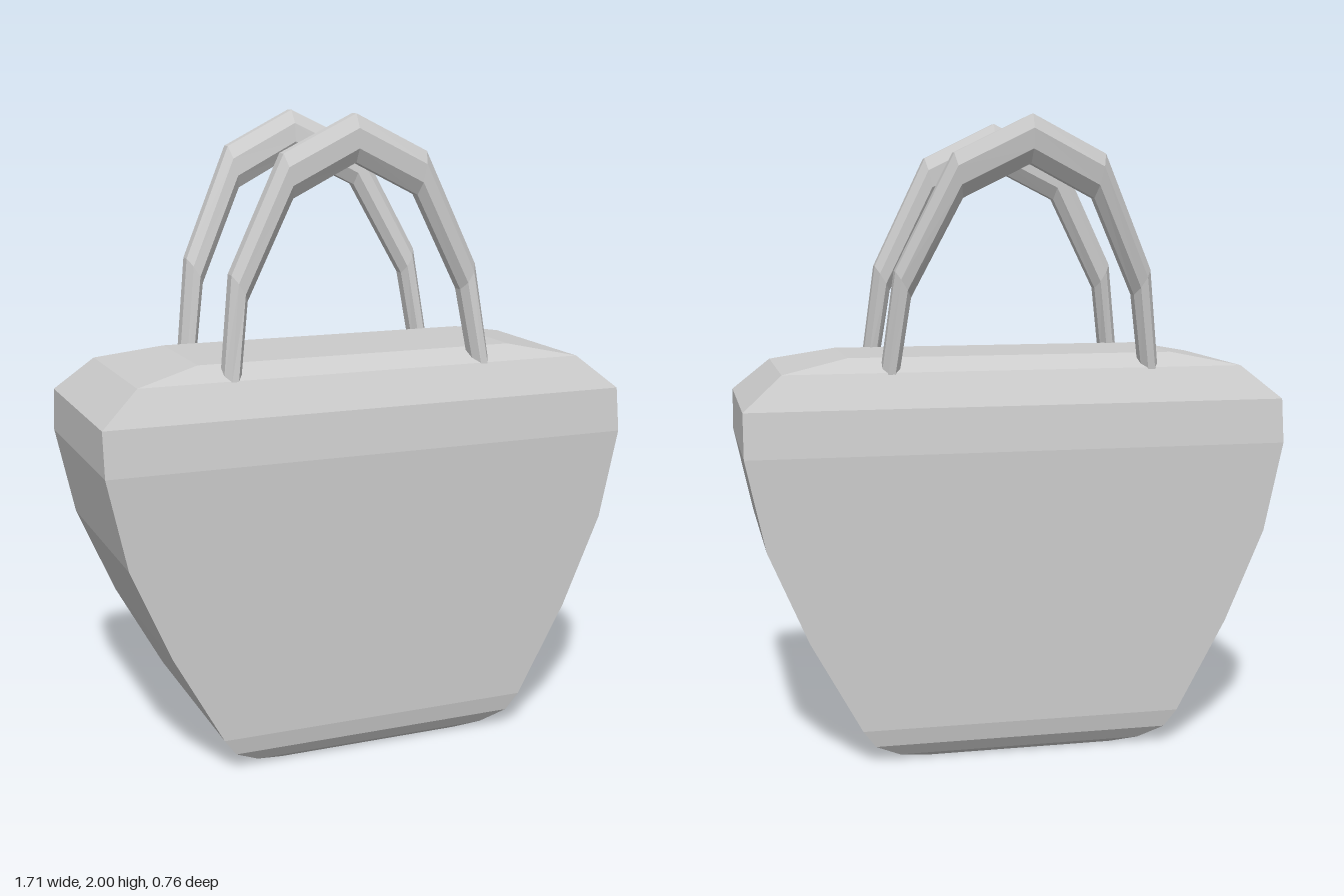
import * as THREE from 'three';

const material = new THREE.MeshStandardMaterial({ color: 0xcccccc, flatShading: true });

// Skin a list of equal-sized rings of Vector3, closing both ends
function loft(name, rings) {
  const n = rings[0].length;
  const positions = rings.flat().flatMap((p) => [p.x, p.y, p.z]);
  const index = [];
  for (let r = 0; r < rings.length - 1; r++) {
    for (let i = 0; i < n; i++) {
      const a = r * n + i, b = r * n + (i + 1) % n;
      index.push(a, b, b + n, a, b + n, a + n);
    }
  }
  const last = (rings.length - 1) * n;
  for (let i = 1; i < n - 1; i++) {
    index.push(0, i + 1, i, last, last + i, last + i + 1);
  }
  const indexed = new THREE.BufferGeometry();
  indexed.setAttribute('position', new THREE.Float32BufferAttribute(positions, 3));
  indexed.setIndex(index);
  const geometry = indexed.toNonIndexed();
  geometry.computeVertexNormals();
  const mesh = new THREE.Mesh(geometry, material);
  mesh.name = name;
  return mesh;
}

// Bag body: stacked rectangles given as [y, half width, half depth]
function createBody() {
  const zc = 0.027;
  const levels = [
    [0, 0.3, 0.295], [0.015, 0.39, 0.315], [0.055, 0.47, 0.343], [0.11, 0.51, 0.353],
    [0.4, 0.67, 0.353], [0.69, 0.795, 0.353], [0.975, 0.857, 0.353],
    [1.115, 0.857, 0.333], [1.22, 0.735, 0.275], [1.26, 0.525, 0.19],
  ];
  return loft('bagBody', levels.map(([y, w, d]) =>
    [[-w, d], [w, d], [w, -d], [-w, -d]].map(([x, z]) => new THREE.Vector3(x, y, zc + z))));
}

// Handle: octagonal strap arched over the bag, thicker towards its crown
// Each half-arch station is [x, y, offset x, offset y]; depths holds the z of each station
function createHandle(name, depths, lean) {
  const half = [
    [-0.418, 1.205, -0.027, 0.002], [-0.38, 1.49, -0.025, 0.04],
    [-0.22, 1.818, -0.015, 0.067], [0, 1.927, 0, 0.073],
  ].map((s, i) => [...s, depths[i]]);
  const mirrored = half.slice(0, 3).reverse().map(([x, y, nx, ny, z]) => [-x, y, -nx, ny, z]);
  const rings = [...half, ...mirrored].map(([x, y, nx, ny, z]) =>
    Array.from({ length: 8 }, (_, i) => {
      const angle = (i + 0.5) * Math.PI / 4;
      const c = Math.cos(angle) / Math.cos(Math.PI / 8);
      const s = Math.sin(angle) / Math.cos(Math.PI / 8);
      return new THREE.Vector3(x - 0.018 + nx * c, y + ny * c, z + 0.045 * s + lean * ny * c);
    }));
  return loft(name, rings);
}

export function createModel() {
  const group = new THREE.Group();
  group.name = 'handbag';
  group.add(
    createBody(),
    createHandle('frontHandle', [0.26, 0.227, 0.22, 0.22], 0),
    createHandle('backHandle', [-0.205, -0.235, -0.305, -0.333], -0.15),
  );
  return group;
}
